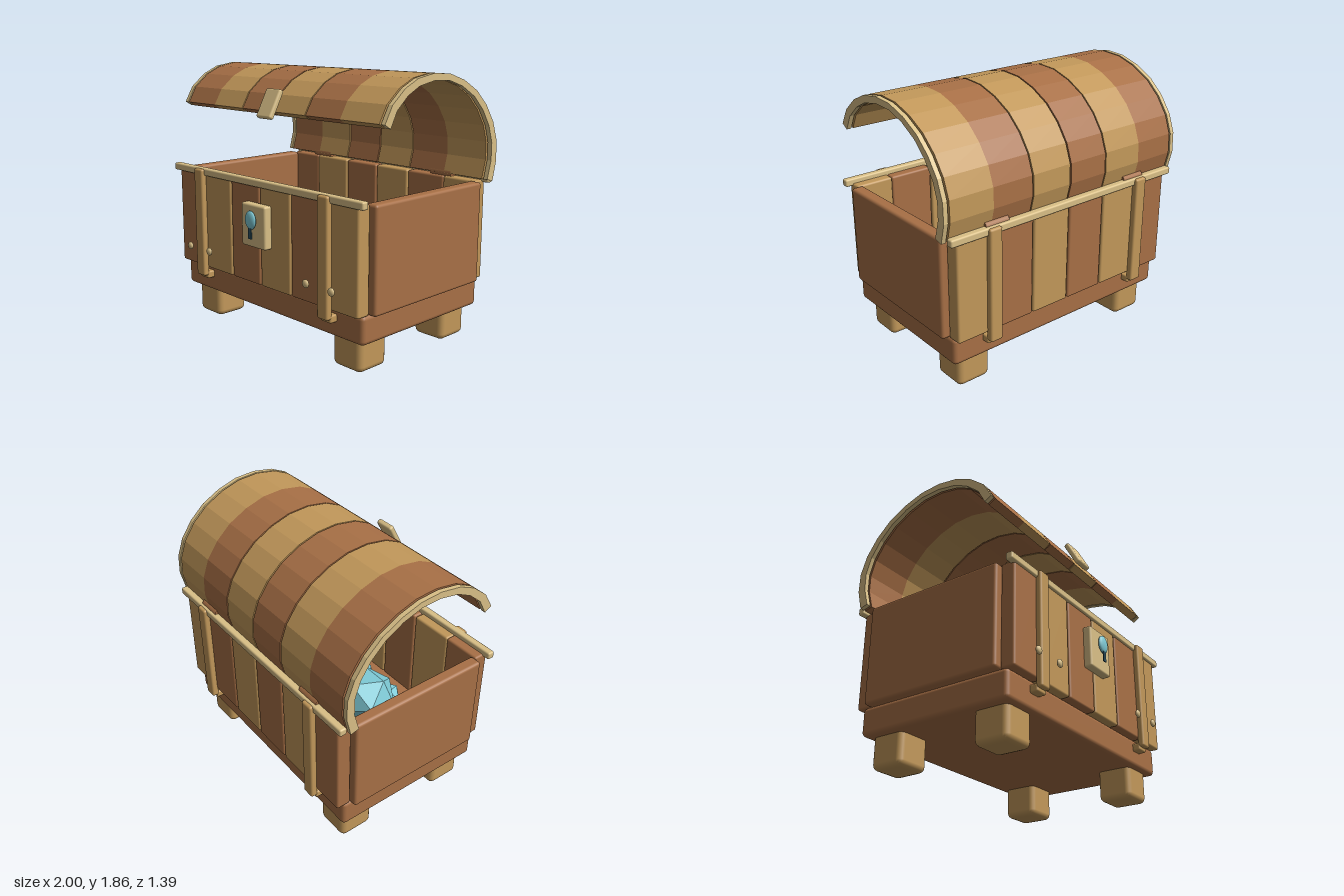
import * as THREE from 'three';
import { RoundedBoxGeometry } from 'three/addons/geometries/RoundedBoxGeometry.js';

const paint = (name, color, flatShading = false) => {
  const m = new THREE.MeshStandardMaterial({ color, flatShading });
  m.name = name;
  return m;
};

export function createModel() {
  const model = new THREE.Group();
  model.name = 'treasureChest';

  const dark = paint('darkWood', 0xa87046);
  const light = paint('lightWood', 0xc2985a);
  const brass = paint('brass', 0xdac087);
  const teal = paint('tealGem', 0x80ccd8);
  const gemMat = paint('facetedGem', 0x80ccd8, true);
  const slate = paint('keyholeSlate', 0x2f5566);

  const add = (name, geometry, material, x = 0, y = 0, z = 0) => {
    const mesh = new THREE.Mesh(geometry, material);
    mesh.name = name;
    mesh.position.set(x, y, z);
    model.add(mesh);
    return mesh;
  };

  // Rounded box given by its extents on each axis
  const block = (name, material, [x0, x1], [y0, y1], [z0, z1], r = 0.015) =>
    add(name, new RoundedBoxGeometry(x1 - x0, y1 - y0, z1 - z0, 2, r), material,
      (x0 + x1) / 2, (y0 + y1) / 2, (z0 + z1) / 2);

  // Base and feet
  block('base', dark, [-0.915, 0.915], [0.215, 0.41], [-0.6, 0.55], 0.03);
  for (const x of [-0.85, 0.6]) {
    for (const z of [-0.555, 0.255]) {
      block('foot', light, [x, x + 0.25], [0, 0.27], [z, z + 0.25], 0.04);
    }
  }

  // Side walls
  block('leftWall', dark, [0.875, 0.965], [0.405, 1.105], [-0.545, 0.495], 0.02);
  block('rightWall', dark, [-0.965, -0.875], [0.405, 1.105], [-0.545, 0.495], 0.02);

  // Front and back planks in alternating wood
  const plankX = [
    [-0.915, -0.637], [-0.637, -0.316], [-0.307, -0.004],
    [0.004, 0.304], [0.313, 0.637], [0.637, 0.915],
  ];
  plankX.forEach((span, i) => {
    const wood = i % 2 ? light : dark;
    block('frontPlank', wood, span, [0.405, 1.105], [0.495, 0.597]);
    block('backPlank', wood, span, [0.405, 1.105], [-0.65, -0.545]);
  });

  // Top rails
  block('frontRail', brass, [-0.965, 0.965], [1.088, 1.14], [0.562, 0.614], 0.012);
  block('backRail', brass, [-0.965, 0.965], [1.088, 1.14], [-0.67, -0.618], 0.012);

  // Straps with hooked feet, hinges and rivets
  for (const s of [-1, 1]) {
    const span = s > 0 ? [0.595, 0.69] : [-0.69, -0.595];
    block('frontStrap', light, span, [0.345, 1.135], [0.59, 0.638]);
    block('backStrap', light, span, [0.345, 1.135], [-0.692, -0.64]);
    block('frontHook', light, span, [0.32, 0.373], [0.54, 0.605], 0.012);
    block('backHook', light, span, [0.32, 0.373], [-0.655, -0.59], 0.012);

    const hinge = new THREE.CylinderGeometry(0.048, 0.048, 0.18, 10).rotateZ(Math.PI / 2);
    add('hinge', hinge, dark, s * 0.6, 1.127, -0.605);

    for (const x of [0.51, 0.74]) {
      const rivet = add('rivet', new THREE.SphereGeometry(0.028, 14, 10), brass, s * x, 0.552, 0.65);
      rivet.scale.z = 0.55;
    }
  }

  // Lock plate and keyhole
  block('lockPlate', brass, [-0.125, 0.122], [0.685, 0.98], [0.59, 0.655], 0.015);
  const keyhole = add('keyholeRound', new THREE.SphereGeometry(1, 20, 14), teal, 0, 0.877, 0.675);
  keyhole.scale.set(0.053, 0.064, 0.02);
  add('keyholeSlot', new THREE.BoxGeometry(0.03, 0.08, 0.008), slate, 0, 0.79, 0.682);

  // Open lid: arched cross-section (z, y) from front lip to hinge
  const arc = [
    [0.474, 1.58], [0.41, 1.69], [0.3, 1.78], [0.183, 1.833], [0.03, 1.858],
    [-0.123, 1.848], [-0.267, 1.803], [-0.405, 1.729], [-0.514, 1.63],
    [-0.598, 1.512], [-0.645, 1.384], [-0.65, 1.246], [-0.617, 1.11],
  ].map(([z, y]) => new THREE.Vector2(-z, y));
  const inner = arc.map((p, i) => {
    const t = arc[Math.min(i + 1, 12)].clone().sub(arc[Math.max(i - 1, 0)]).normalize();
    const thick = 0.04 + 0.02 * Math.abs(i - 5.5) / 6;
    return new THREE.Vector2(p.x + t.y * thick, p.y - t.x * thick);
  });
  const profile = new THREE.Shape([...arc, ...inner.reverse()]);
  const arch = (name, material, x0, x1) => {
    const g = new THREE.ExtrudeGeometry(profile, { depth: x1 - x0, bevelEnabled: false });
    add(name, g.rotateY(Math.PI / 2), material, x0);
  };
  const lidX = [
    [-0.955, -0.637], [-0.637, -0.323], [-0.314, -0.005],
    [0.005, 0.314], [0.323, 0.632], [0.632, 0.955],
  ];
  lidX.forEach(([a, b], i) => arch('lidPlank', i % 2 ? light : dark, a, b));
  arch('rightLidRim', brass, -1, -0.968);
  arch('leftLidRim', brass, 0.968, 1);

  // Lid latch
  const latch = add('latch', new RoundedBoxGeometry(0.145, 0.21, 0.04, 2, 0.015), brass, 0, 1.633, 0.495);
  latch.rotation.x = -0.49;

  // Gems: three large ones and smaller ones on the floor
  const gems = [
    [-0.4, 0.69, 0, 0.21], [0.06, 0.7, 0, 0.21], [0.49, 0.69, 0, 0.21],
    [-0.3, 0.48, 0.28, 0.1], [-0.31, 0.48, -0.3, 0.1], [0, 0.5, 0.25, 0.12],
    [0.02, 0.48, -0.3, 0.1], [-0.62, 0.48, 0.1, 0.1], [0.7, 0.48, -0.1, 0.1],
  ];
  gems.forEach(([x, y, z, r], i) => {
    const gem = add('gem', new THREE.IcosahedronGeometry(r, 0), gemMat, x, y, z);
    gem.rotation.set(0.3 + i * 0.2, i * 0.9, 0.1 * i);
  });

  return model;
}
